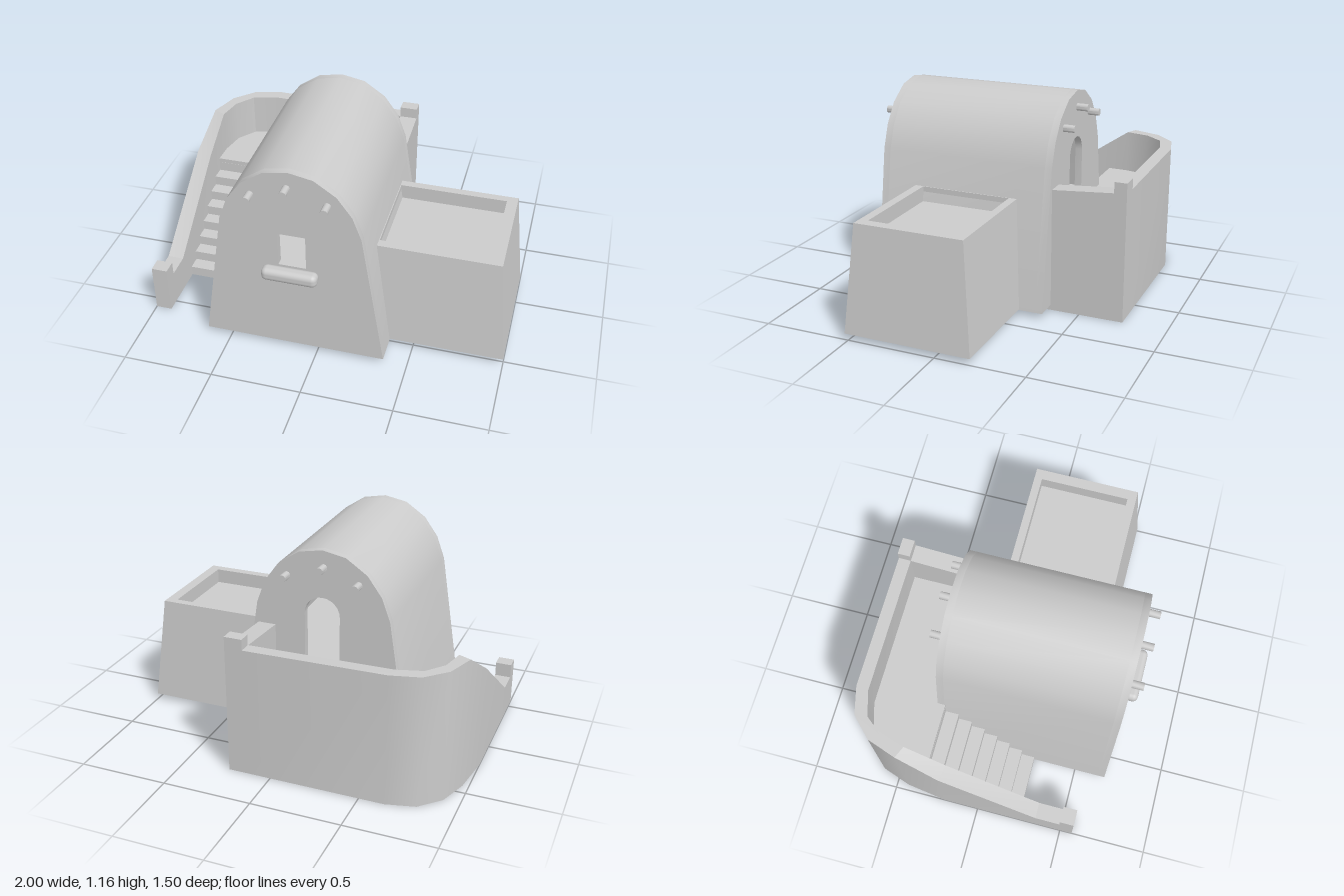
import * as THREE from 'three';
import { toCreasedNormals } from 'three/addons/utils/BufferGeometryUtils.js';
import { RoundedBoxGeometry } from 'three/addons/geometries/RoundedBoxGeometry.js';

const V = (x, y) => new THREE.Vector2(x, y);

export function createModel() {
  const model = new THREE.Group();
  const material = new THREE.MeshStandardMaterial({ color: 0xcccccc, side: THREE.DoubleSide });

  const add = (name, geometry, x = 0, y = 0, z = 0, parent = model) => {
    const mesh = new THREE.Mesh(geometry, material);
    mesh.name = name;
    mesh.position.set(x, y, z);
    parent.add(mesh);
    return mesh;
  };
  const box = (name, x0, x1, y0, y1, z0, z1, parent = model) =>
    add(name, new THREE.BoxGeometry(x1 - x0, y1 - y0, z1 - z0),
      (x0 + x1) / 2, (y0 + y1) / 2, (z0 + z1) / 2, parent);
  const extrude = (shape, depth) => toCreasedNormals(
    new THREE.ExtrudeGeometry(shape, { depth, bevelEnabled: false, curveSegments: 6 }), 0.5);

  // Joins four-cornered loops into a closed skin, with caps at chosen ends
  const skin = (loops, capStart, capEnd) => {
    const pos = [];
    const quad = (a, b, c, d) => pos.push(...a, ...b, ...c, ...a, ...c, ...d);
    for (let i = 0; i < loops.length - 1; i++) {
      const p = loops[i], q = loops[i + 1];
      for (let k = 0; k < 4; k++) quad(p[k], p[(k + 1) % 4], q[(k + 1) % 4], q[k]);
    }
    const e = loops[loops.length - 1];
    if (capStart) quad(loops[0][3], loops[0][2], loops[0][1], loops[0][0]);
    if (capEnd) quad(e[0], e[1], e[2], e[3]);
    const g = new THREE.BufferGeometry();
    g.setAttribute('position', new THREE.Float32BufferAttribute(pos, 3));
    return toCreasedNormals(g, 0.55);
  };

  // House: arched shell, open underneath, with a wall at each end
  const house = new THREE.Group();
  house.name = 'house';
  model.add(house);
  const cx = -0.132, front = 0.68, back = -0.335, wall = 0.04;
  const half = [[0.503, 0.03], [0.378, 0.82], [0.33, 0.95], [0.25, 1.06], [0.132, 1.14]];
  const profile = [
    ...half.map(([x, y]) => V(cx + x, y)), V(cx, 1.165),
    ...half.slice().reverse().map(([x, y]) => V(cx - x, y)),
  ];
  const inner = profile.map(p => V(cx + (p.x - cx) * 0.92, 0.03 + (p.y - 0.03) * 0.965));
  add('roofAndSides', extrude(new THREE.Shape([...profile, ...inner.reverse()]),
    front - back - 2 * wall), 0, 0, back + wall, house);

  const frontShape = new THREE.Shape(profile);
  frontShape.holes.push(new THREE.Path([
    V(-0.2, 0.575), V(-0.2, 0.775), V(-0.05, 0.775), V(-0.05, 0.575)]));
  add('frontWall', extrude(frontShape, wall), 0, 0, front - wall, house);

  const backShape = new THREE.Shape(profile);
  const door = new THREE.Path();
  door.moveTo(cx - 0.1, 0.48);
  door.lineTo(cx + 0.1, 0.48);
  door.lineTo(cx + 0.1, 0.8);
  door.absarc(cx, 0.8, 0.1, 0, Math.PI, false);
  door.lineTo(cx - 0.1, 0.48);
  backShape.holes.push(door);
  add('backWall', extrude(backShape, wall), 0, 0, back, house);
  box('houseFloor', -0.56, 0.295, 0.45, 0.48, back + wall, front - wall, house);

  // Window sill and the beam ends on both gables
  add('windowSill', new RoundedBoxGeometry(0.305, 0.075, 0.075, 3, 0.03), -0.132, 0.533, 0.708, house);
  for (const [x, y] of [[-0.335, 1], [-0.14, 1.07], [0.07, 1]]) {
    for (const z of [front + 0.025, back - 0.025]) {
      const peg = new THREE.CylinderGeometry(0.021, 0.021, 0.08, 10).rotateX(Math.PI / 2);
      add('beamEnd', toCreasedNormals(peg, 0.7), x, y, z, house);
    }
  }

  // Side room: tapered walls, rim and sunken roof terrace
  const rect = (x0, x1, z0, z1, y) => [[x0, y, z1], [x1, y, z1], [x1, y, z0], [x0, y, z0]];
  add('sideRoom', skin([
    rect(0.36, 1, -0.2, 0.52, 0.035),
    rect(0.265, 0.94, -0.145, 0.47, 0.635),
    rect(0.28, 0.88, -0.1, 0.42, 0.635),
    rect(0.28, 0.88, -0.1, 0.42, 0.55),
  ], false, true));

  // Outer wall curving around the stairs: outer x, z, inner x, z, top height
  const wallPath = [
    [-1, 0.57, -0.91, 0.57, 0.28], [-1, 0.49, -0.91, 0.49, 0.28],
    [-1, 0.49, -0.91, 0.49, 0.2], [-1, 0.35, -0.91, 0.35, 0.2],
    [-1, -0.2, -0.91, -0.18, 0.585], [-0.967, -0.435, -0.9, -0.405, 0.74],
    [-0.91, -0.6, -0.87, -0.54, 0.74], [-0.8, -0.71, -0.79, -0.64, 0.74],
    [-0.64, -0.75, -0.65, -0.68, 0.74], [0.14, -0.75, 0.14, -0.68, 0.73],
    [0.14, -0.75, 0.14, -0.68, 0.79], [0.24, -0.75, 0.24, -0.68, 0.79],
  ];
  add('outerWall', skin(wallPath.map(([xo, zo, xi, zi, h]) =>
    [[xo, 0, zo], [xi, 0, zi], [xi, h, zi], [xo, h, zo]]), true, true));

  // Short wall closing the landing against the house
  const returnShape = new THREE.Shape([V(0.26, 0), V(0.68, 0), V(0.68, 0.728), V(0.26, 0.695)]);
  add('returnWall', extrude(returnShape, 0.1).rotateY(Math.PI / 2), 0.14, 0, 0);

  // Landing slab inside the curved wall
  const landing = new THREE.Shape([
    V(-0.905, 0.29), V(0.15, 0.29), V(0.15, 0.685), V(-0.65, 0.685),
    V(-0.79, 0.645), V(-0.87, 0.545), V(-0.905, 0.41)]);
  add('landing', extrude(landing, 0.03).rotateX(-Math.PI / 2), 0, 0.46, 0);

  // Stairs: thin folded treads and risers ending in the house side
  const stairs = new THREE.Group();
  stairs.name = 'stairs';
  model.add(stairs);
  const rise = 0.058, run = 0.077, thick = 0.015;
  for (let i = 0; i < 8; i++) {
    const top = (i + 1) * rise, z = 0.25 - i * run;
    const end = -0.625 + 0.158 * top;
    box('riser', -0.915, end, top - rise - (i ? thick : 0), top, z - thick, z, stairs);
    box('tread', -0.915, end, top - thick, top, z - run, z, stairs);
  }
  return model;
}
